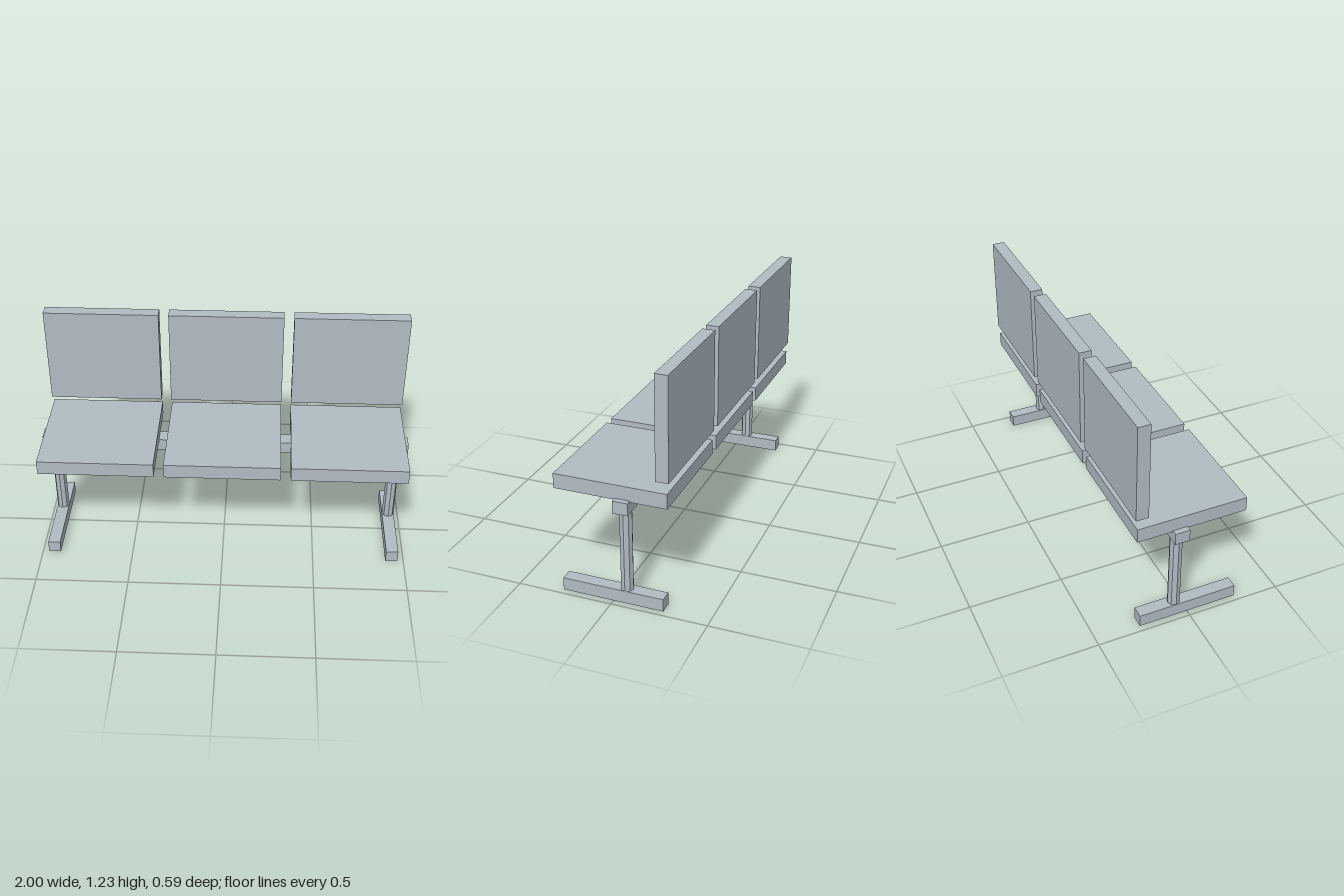
import * as THREE from 'three';

export function createModel() {
  const model = new THREE.Group();
  model.name = 'threeSeatBench';

  const paleGrey = new THREE.MeshStandardMaterial({ color: 0xb0bcc3 });
  paleGrey.name = 'paleBlueGrey';
  const columnGrey = paleGrey.clone();
  columnGrey.flatShading = true;

  // Box given by its centre x, width, and y and z ranges
  function addBox(name, x, width, [y0, y1], [z0, z1]) {
    const mesh = new THREE.Mesh(new THREE.BoxGeometry(width, y1 - y0, z1 - z0), paleGrey);
    mesh.position.set(x, (y0 + y1) / 2, (z0 + z1) / 2);
    mesh.name = name;
    model.add(mesh);
  }

  // Three seats with separate backrests
  ['right', 'middle', 'left'].forEach((side, i) => {
    const x = (i - 1) * 0.665;
    addBox(side + 'Seat', x, 0.612, [0.568, 0.646], [-0.288, 0.296]);
    addBox(side + 'Backrest', x, 0.612, [0.701, 1.234], [-0.296, -0.23]);
  });

  // Beam carrying the seats
  addBox('beam', 0, 2, [0.509, 0.575], [-0.101, -0.023]);

  // Octagonal columns on floor bars
  for (const [side, sign] of [['right', -1], ['left', 1]]) {
    const x = sign * 0.934;
    const column = new THREE.Mesh(new THREE.CylinderGeometry(0.033, 0.033, 0.443, 8), columnGrey);
    column.position.set(x, 0.2885, -0.062);
    column.name = side + 'Column';
    model.add(column);
    addBox(side + 'Foot', x, 0.066, [0, 0.067], [-0.262, 0.271]);
  }

  return model;
}
